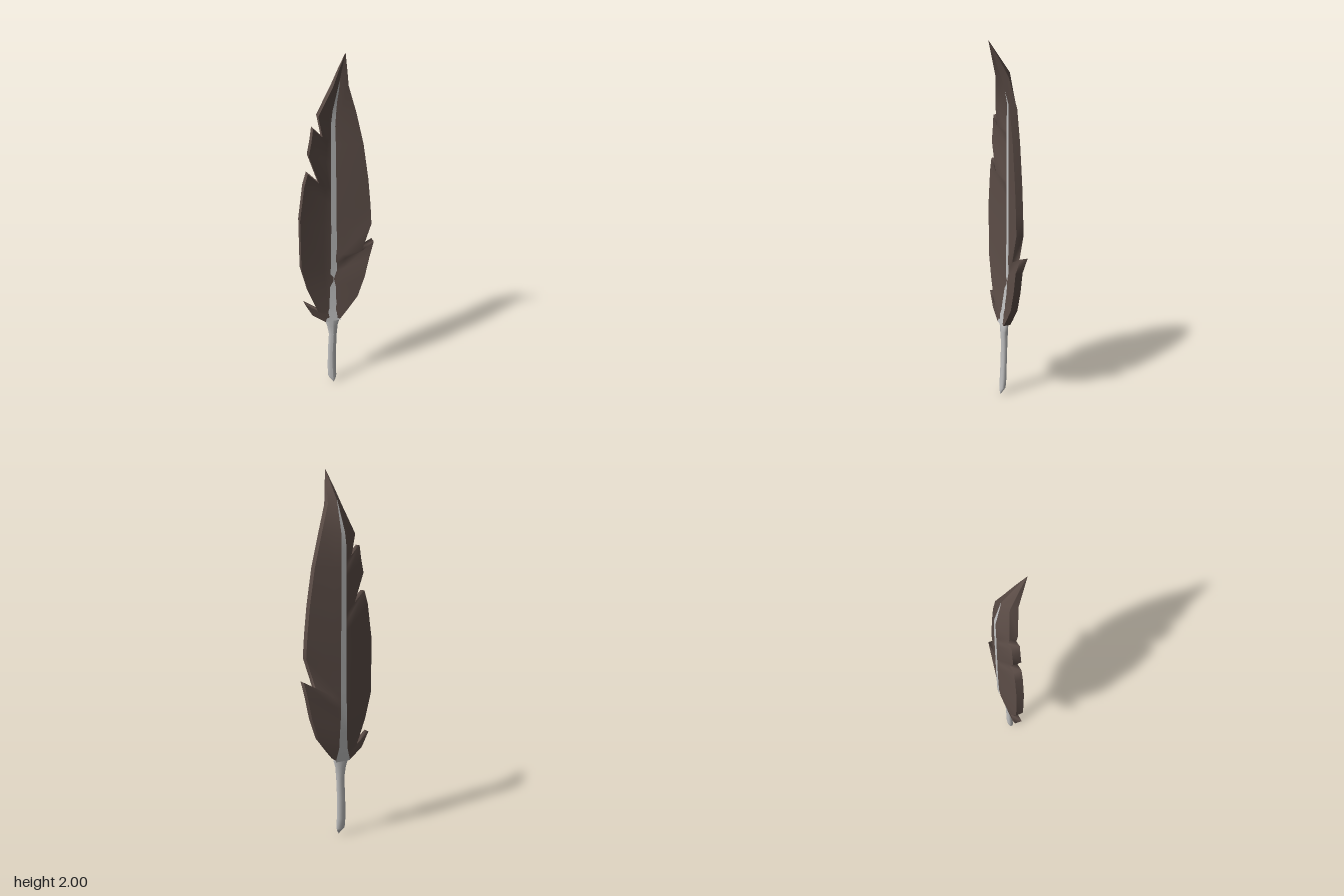
import * as THREE from 'three';
import { mergeGeometries } from 'three/addons/utils/BufferGeometryUtils.js';

// Piecewise linear lookup: table rows are [y, value, value...], y rising
function lookup(table, y, k = 1) {
  if (y <= table[0][0]) return table[0][k];
  for (let i = 1; i < table.length; i++) {
    const a = table[i - 1], b = table[i];
    if (y <= b[0]) return THREE.MathUtils.lerp(a[k], b[k], (y - a[0]) / (b[0] - a[0]));
  }
  return table[table.length - 1][k];
}

// Shaft strip: y, left x, right x, front z
const SPINE = [
  [0.44, -0.08, 0.01, -0.002], [0.52, -0.055, -0.004, -0.015], [0.7, -0.04, -0.003, -0.035],
  [1, -0.034, -0.003, -0.037], [1.6, -0.034, -0.003, -0.037], [1.68, -0.025, -0.003, -0.035],
  [1.84, -0.001, 0.001, 0.003], [2, 0.005, 0.005, 0.08],
];
const EDGE_Z = [[1.67, 0], [1.82, 0.025], [2, 0.08]];
const THICK = [[1.84, 0.04], [2, 0.001]];

// Vane outlines from tip to base: edge x, edge y, y where the barb meets the shaft, z shift
const LEFT = [
  [0.005, 2, 2], [-0.018, 1.91, 1.92], [-0.04, 1.82, 1.84], [-0.108, 1.67, 1.68],
  [-0.087, 1.56, 1.53], [-0.135, 1.61, 1.48], [-0.145, 1.54, 1.44], [-0.16, 1.465, 1.39],
  [-0.108, 1.31, 1.25], [-0.167, 1.37, 1.2], [-0.188, 1.3, 1.15], [-0.214, 1.11, 1],
  [-0.214, 0.81, 0.76], [-0.177, 0.66, 0.62], [-0.124, 0.52, 0.49], [-0.2, 0.585, 0.45],
  [-0.156, 0.5, 0.445], [-0.08, 0.44, 0.44],
];
const RIGHT = [
  [0.005, 2, 2], [0.023, 1.91, 1.92], [0.04, 1.82, 1.84], [0.09, 1.67, 1.68],
  [0.13, 1.5, 1.5], [0.16, 1.3, 1.28], [0.175, 1.15, 1.12], [0.183, 1.03, 0.98],
  [0.13, 0.87, 0.84], [0.205, 0.91, 0.785, -0.015], [0.175, 0.82, 0.74], [0.15, 0.7, 0.64],
  [0.11, 0.58, 0.54], [0.05, 0.5, 0.48], [0.01, 0.45, 0.44],
];

// Smooth indexed surface through rows of points
function grid(rows, flip) {
  const n = rows[0].length, index = [];
  for (let i = 0; i < rows.length - 1; i++) {
    for (let j = 0; j < n - 1; j++) {
      const a = i * n + j, b = a + 1, c = a + n, d = c + 1;
      index.push(...(flip ? [a, b, c, b, d, c] : [a, c, b, b, c, d]));
    }
  }
  const g = new THREE.BufferGeometry();
  g.setAttribute('position', new THREE.Float32BufferAttribute(rows.flat(2), 3));
  g.setIndex(index);
  g.computeVertexNormals();
  return g;
}

// One half of the blade: dished front, ridged back and the cut edge between
function vane(outline, left) {
  const front = [], back = [], wall = [];
  for (const [ex, ey, sy, shift = 0] of outline) {
    const sx = (lookup(SPINE, sy, 1) + lookup(SPINE, sy, 2)) / 2;
    const sz = lookup(SPINE, sy, 3), ez = lookup(EDGE_Z, ey) + shift;
    const f = [0, 0.3, 1].map((t) => {
      const tz = left && t < 1 ? t * 0.3 : t;
      return [sx + (ex - sx) * t, sy + (ey - sy) * t, sz + (ez - sz) * tz];
    });
    const b = f.map(([x, y, z]) => [x, y, z - lookup(THICK, y)]);
    front.push(f);
    back.push(b);
    wall.push([f[2], b[2]]);
  }
  return mergeGeometries([grid(front, left), grid(back, !left), grid(wall, left)]);
}

// Thin shaft strip lying on the front or the back of the blade
function strip(isBack) {
  const ys = [1.84, 1.76, 1.68, 1.6, 1.4, 1.2, 1, 0.85, 0.7, 0.61, 0.52, 0.48, 0.44];
  const rows = ys.map((y) => {
    const z = lookup(SPINE, y, 3) + (isBack ? -lookup(THICK, y) - 0.003 : 0.003);
    return [1, 2].map((k) => [lookup(SPINE, y, k), y, z]);
  });
  return grid(rows, isBack);
}

// Hollow-looking quill: elliptical rings [y, centre x, centre z, half width, half depth]
function quill() {
  const rings = [
    [0.46, -0.035, -0.021, 0.036, 0.018], [0.44, -0.035, -0.02, 0.045, 0.02],
    [0.4, -0.034, -0.02, 0.032, 0.02], [0.34, -0.032, -0.02, 0.024, 0.018],
    [0.22, -0.038, -0.02, 0.025, 0.016], [0.1, -0.04, -0.017, 0.026, 0.018],
    [0.04, -0.039, -0.012, 0.025, 0.017], [0.02, -0.036, -0.004, 0.014, 0.01],
    [0, -0.035, 0.002, 0.001, 0.001],
  ];
  const sides = 12;
  return grid(rings.map(([y, x, z, w, d]) => Array.from({ length: sides + 1 }, (_, i) => {
    const a = (i / sides) * Math.PI * 2;
    return [x + Math.sin(a) * w, y, z + Math.cos(a) * d];
  })), false);
}

export function createModel() {
  const brown = new THREE.MeshStandardMaterial({ color: 0x5c4d47 });
  brown.name = 'dark brown';
  const grey = new THREE.MeshStandardMaterial({ color: 0xc0c0c0 });
  grey.name = 'light grey';

  const feather = new THREE.Group();
  feather.name = 'feather';
  const add = (name, geometry, material) => {
    const mesh = new THREE.Mesh(geometry, material);
    mesh.name = name;
    feather.add(mesh);
  };
  add('leftEdgeVane', vane(RIGHT, false), brown);
  add('rightEdgeVane', vane(LEFT, true), brown);
  add('frontShaft', strip(false), grey);
  add('backShaft', strip(true), grey);
  add('quill', quill(), grey);
  return feather;
}
